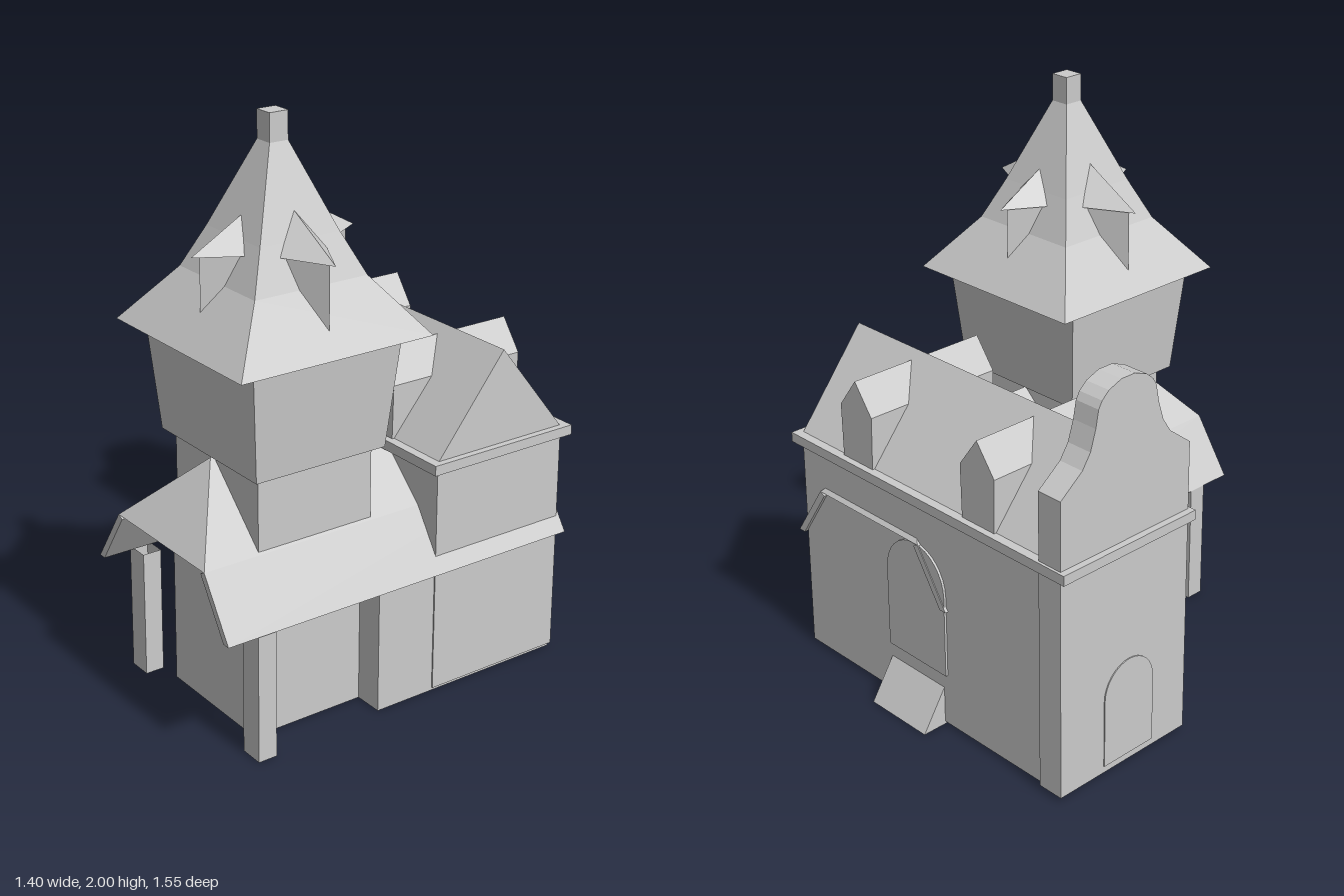
import * as THREE from 'three';
import { ConvexGeometry } from 'three/addons/geometries/ConvexGeometry.js';

export function createModel() {
  const group = new THREE.Group();
  const material = new THREE.MeshStandardMaterial({
    color: 0xcccccc, flatShading: true, side: THREE.DoubleSide,
  });

  // the whole building leans in plan: z shifts with x
  const shear = new THREE.Matrix4().set(1, 0, 0, 0, 0, 1, 0, 0, 0.055, 0, 1, 0, 0, 0, 0, 1);

  function add(name, geometry) {
    geometry.applyMatrix4(shear);
    geometry.computeVertexNormals();
    const mesh = new THREE.Mesh(geometry, material);
    mesh.name = name;
    group.add(mesh);
  }
  const fit = (geometry, x0, x1, y0, y1, z0, z1) => geometry
    .scale(x1 - x0, y1 - y0, z1 - z0)
    .translate((x0 + x1) / 2, (y0 + y1) / 2, (z0 + z1) / 2);
  const box = (name, ...size) => add(name, fit(new THREE.BoxGeometry(1, 1, 1), ...size));
  // four walls without floor or ceiling
  const walls = (name, ...size) => add(name, fit(
    new THREE.CylinderGeometry(Math.SQRT1_2, Math.SQRT1_2, 1, 4, 1, true).rotateY(Math.PI / 4),
    ...size));
  // square shell from [half width, height] pairs
  const squareLathe = (profile) => new THREE.LatheGeometry(
    profile.map(([h, y]) => new THREE.Vector2(h * Math.SQRT2, y)), 4).rotateY(Math.PI / 4);
  const hull = (points) => new ConvexGeometry(points.map((p) => new THREE.Vector3(...p)));
  const polygon = (points) => new THREE.Shape(points.map((p) => new THREE.Vector2(...p)));
  const extrude = (shape, depth) =>
    new THREE.ExtrudeGeometry(shape, { depth, bevelEnabled: false, curveSegments: 8 });

  // round-headed door outline
  function arch(half, bottom, spring) {
    const s = new THREE.Shape();
    s.moveTo(-half, bottom);
    s.lineTo(half, bottom);
    s.lineTo(half, spring);
    s.absarc(0, spring, half, 0, Math.PI, false);
    s.closePath();
    return s;
  }

  // main house
  const hz = -0.405;
  walls('houseWalls', -0.6, 0.665, 0.01, 0.82, hz - 0.275, hz + 0.275);
  box('eavesBand', -0.705, 0.69, 0.805, 0.84, hz - 0.305, hz + 0.305);
  add('houseRoof', extrude(polygon([[-0.275, 0.835], [0.275, 0.835], [0, 1.17]]), 1.255)
    .rotateY(Math.PI / 2).translate(-0.59, 0, hz));

  // curved gable at the end
  const side = [[0.295, 0.015], [0.295, 1.08], [0.2, 1.15], [0.165, 1.2], [0.142, 1.27],
    [0.13, 1.33], [0.115, 1.355], [0.085, 1.38], [0.03, 1.4]];
  const gable = [...side, ...side.map(([d, y]) => [-d, y]).reverse()];
  add('curvedGable', extrude(polygon(gable), 0.1).rotateY(Math.PI / 2).translate(-0.68, 0, hz));
  add('sideDoor', extrude(arch(0.115, 0.04, 0.285), 0.02)
    .rotateY(Math.PI / 2).translate(-0.684, 0, -0.385));

  // house dormers, each prism emerging from both roof slopes
  for (const x of [-0.278, 0.342]) {
    add('houseDormers', extrude(polygon([[-0.078, 0.83], [0.078, 0.83], [0.083, 1.03],
      [0, 1.138], [-0.083, 1.03]]), 0.56).translate(x, 0, hz - 0.28));
  }

  // back door and its ramp
  add('backDoor', extrude(arch(0.15, 0.2, 0.5), 0.02).translate(0.05, 0, -0.689));
  add('backRamp', hull([-0.08, 0.2].flatMap((x) =>
    [[x, 0, -0.67], [x, 0.16, -0.67], [x, 0, -0.776]])));

  // cross wing
  const wx = 0.295;
  walls('wingWalls', -0.07, 0.66, 0, 0.45, -0.67, 0.105);
  walls('wingFront', 0.06, 0.55, 0, 0.66, 0.05, 0.54);
  for (const s of [-1, 1]) {
    const x = wx - 0.005 + s * 0.355;
    walls('porchPost', x - 0.045, x + 0.045, 0, 0.45, 0.545, 0.615);
  }

  // half-hipped wing roof: thin steep skirts below, open shell above
  const rz0 = -0.692, rz1 = 0.735;
  for (const s of [-1, 1]) {
    add('wingRoofSkirt', extrude(polygon([[0.375, 0.45], [0.405, 0.45], [0.268, 0.65],
      [0.245, 0.64]].map(([x, y]) => [s * x, y])), rz1 - rz0).translate(wx, 0, rz0));
  }
  const wingTop = new THREE.BufferGeometry();
  wingTop.setAttribute('position', new THREE.Float32BufferAttribute([
    [-0.268, 0.65, rz0], [0.268, 0.65, rz0], [0.268, 0.65, rz1], [-0.268, 0.65, rz1],
    [0, 0.895, rz0 + 0.2], [0, 0.895, rz1 - 0.2]].flat(), 3));
  wingTop.setIndex([3, 2, 5, 1, 0, 4, 2, 1, 4, 2, 4, 5, 0, 3, 5, 0, 5, 4]);
  add('wingRoofTop', wingTop.translate(wx, 0, 0));

  // tower
  const tx = 0.305, tz = 0.29;
  walls('towerShaft', 0.06, 0.555, 0.65, 0.92, 0.068, 0.522);
  add('towerChamber', squareLathe([[0.285, 0.91], [0.323, 1.29]])
    .scale(1, 1, 0.9).translate(tx, 0, tz + 0.005));
  add('towerRoof', squareLathe([[0.375, 1.29], [0.22, 1.48], [0.155, 1.62], [0.036, 1.905]])
    .translate(tx, 0, tz));
  box('finial', tx - 0.036, tx + 0.036, 1.9, 2, tz - 0.036, tz + 0.036);

  // four pointed tower dormers; those facing front and back are slightly smaller
  for (let i = 0; i < 4; i++) {
    const reach = i % 2 ? 0 : 0.028;
    const place = (g) => g.rotateY(i * Math.PI / 2).translate(tx + (i % 2 ? 0 : 0.008), 0, tz);
    add('towerDormerBody', place(hull([1.32, 1.585].flatMap((y) =>
      [[0, y, 0.315 - reach], [-0.11, y, 0.1], [0.11, y, 0.1]]))));
    add('towerDormerRoof', place(hull([[0, 1.58, 0.347 - reach], [-0.13, 1.58, 0.1],
      [0.13, 1.58, 0.1], [0, 1.715 - reach / 2, 0.1]])));
  }
  return group;
}
